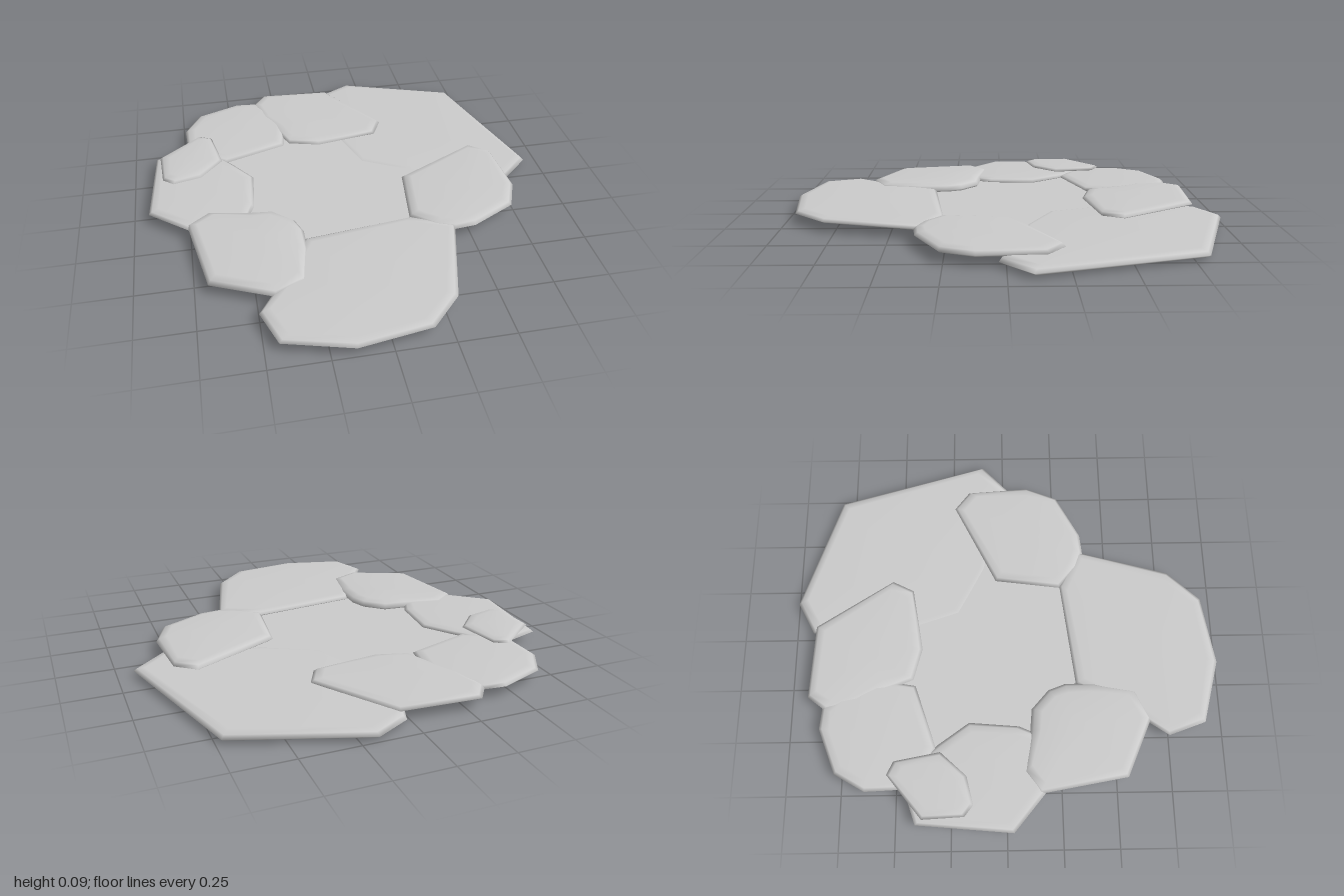
import * as THREE from 'three';

const grey = new THREE.MeshStandardMaterial({ color: 0xcccccc });
const greyDouble = new THREE.MeshStandardMaterial({ color: 0xcccccc, side: THREE.DoubleSide });

// Edge profile of a slab: [inset, height fraction], from underside to top
const PROFILE = [[0.06, 0], [0.015, 0.28], [0, 0.5], [0.016, 0.8], [0.05, 0.96]];

// Flat stone with rounded rim; outline is a list of [x, z] corners
function slab(name, outline, y0, y1) {
  const n = outline.length;
  const shape = outline.map(([x, z]) => new THREE.Vector2(x, z));
  // consistent winding
  if (THREE.ShapeUtils.area(shape) < 0) shape.reverse();
  const c = shape.reduce((s, p) => s.add(p), new THREE.Vector2()).divideScalar(n);
  const pos = [], idx = [];
  for (const [inset, h] of PROFILE) {
    for (const p of shape) {
      const q = p.clone().sub(c);
      q.setLength(q.length() - inset).add(c);
      pos.push(q.x, y0 + (y1 - y0) * h, q.y);
    }
  }
  const rings = PROFILE.length;
  pos.push(c.x, y0, c.y, c.x, y1, c.y);
  const bottom = rings * n, top = bottom + 1;
  for (let i = 0; i < n; i++) {
    const j = (i + 1) % n;
    for (let r = 0; r < rings - 1; r++) {
      const a = r * n + i, b = r * n + j;
      idx.push(a, a + n, b, b, a + n, b + n);
    }
    const last = (rings - 1) * n;
    idx.push(bottom, i, j, top, last + j, last + i);
  }
  const g = new THREE.BufferGeometry();
  g.setAttribute('position', new THREE.Float32BufferAttribute(pos, 3));
  g.setIndex(idx);
  g.computeVertexNormals();
  const mesh = new THREE.Mesh(g, grey);
  mesh.name = name;
  return mesh;
}

export function createModel() {
  const group = new THREE.Group();
  group.name = 'stoneRing';

  // Stones around the rim
  group.add(
    slab('backLeftStone', [[0.18, -1], [0.73, -0.81], [0.93, -0.1], [0.79, 0.03], [0.35, -0.07],
      [0.1, -0.2], [0, -0.5], [-0.03, -0.75], [0.03, -0.92]], 0, 0.046),
    slab('frontStone', [[-0.5, 0.75], [-0.44, 0.92], [-0.15, 1], [0.17, 0.95], [0.31, 0.8],
      [0.43, 0.36], [0.25, 0.27], [-0.25, 0.33], [-0.42, 0.63]], 0.03, 0.066),
    slab('leftStone', [[0.28, -0.04], [0.68, -0.24], [0.77, -0.17], [0.79, 0.12], [0.73, 0.27],
      [0.52, 0.38], [0.42, 0.39], [0.34, 0.36], [0.24, 0.27]], 0.025, 0.072),
    slab('frontRightStone', [[-0.76, 0.15], [-0.67, 0.08], [-0.48, 0.11], [-0.37, 0.12], [-0.28, 0.2],
      [-0.25, 0.28], [-0.25, 0.42], [-0.29, 0.61], [-0.42, 0.67], [-0.69, 0.55]], 0.022, 0.081),
    slab('rightStone', [[-0.93, 0.03], [-0.89, -0.41], [-0.68, -0.48], [-0.53, -0.31], [-0.43, -0.17],
      [-0.45, 0.06], [-0.49, 0.15], [-0.75, 0.18]], 0.033, 0.066),
    slab('backRightStone', [[-0.74, -0.64], [-0.66, -0.78], [-0.45, -0.86], [-0.35, -0.85], [-0.2, -0.7],
      [-0.25, -0.42], [-0.55, -0.32], [-0.73, -0.42]], 0.031, 0.067),
    slab('backStone', [[-0.36, -0.84], [-0.3, -0.92], [0.05, -0.9], [0.28, -0.54], [0.23, -0.44],
      [-0.07, -0.39], [-0.22, -0.43], [-0.27, -0.55], [-0.34, -0.7]], 0.033, 0.071),
    slab('smallTopStone', [[-0.87, -0.38], [-0.67, -0.54], [-0.61, -0.51], [-0.57, -0.3],
      [-0.68, -0.18], [-0.81, -0.15], [-0.86, -0.19]], 0.062, 0.092)
  );

  // Flat surface enclosed by the stones
  const pts = [[-0.6, -0.38], [-0.3, -0.52], [0.1, -0.52], [0.4, -0.3], [0.45, 0.2], [0.3, 0.48],
    [-0.38, 0.48], [-0.58, 0.08]].map(([x, z]) => new THREE.Vector2(x, -z));
  const pool = new THREE.Mesh(new THREE.ShapeGeometry(new THREE.Shape(pts)).rotateX(-Math.PI / 2), greyDouble);
  pool.position.y = 0.04;
  pool.name = 'poolSurface';
  group.add(pool);
  return group;
}
